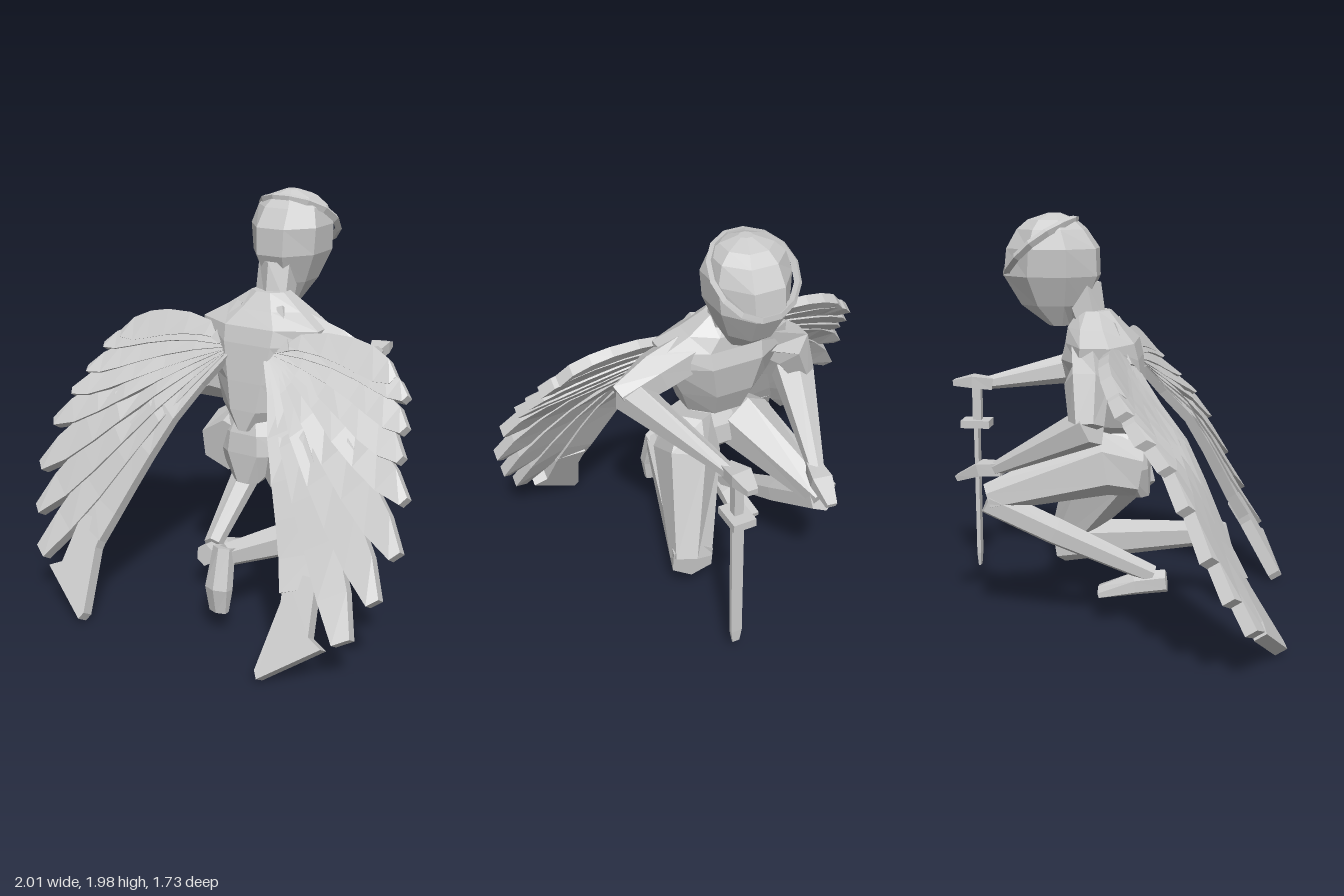
import * as THREE from 'three';

const mat = new THREE.MeshStandardMaterial({ color: 0xcccccc, flatShading: true });
const V = (x, y, z) => new THREE.Vector3(x, y, z);

// Polygon ring whose flat sides touch the half-axes u and v
function ring(c, u, v, n) {
  const k = Math.cos(Math.PI / n), out = [];
  for (let i = 0; i < n; i++) {
    const a = (i + 0.5) / n * Math.PI * 2;
    out.push(c.clone().addScaledVector(u, Math.cos(a) / k).addScaledVector(v, Math.sin(a) / k));
  }
  return out;
}

// Closed solid through a list of rings, faces turned outward by signed volume
function loft(name, rings) {
  const tris = [], n = rings[0].length, last = rings.length - 1;
  for (let r = 0; r < last; r++) for (let i = 0; i < n; i++) {
    const j = (i + 1) % n, a = rings[r], b = rings[r + 1];
    tris.push([a[i], a[j], b[j]], [a[i], b[j], b[i]]);
  }
  for (let i = 1; i < n - 1; i++) {
    tris.push([rings[0][0], rings[0][i + 1], rings[0][i]]);
    tris.push([rings[last][0], rings[last][i], rings[last][i + 1]]);
  }
  let vol = 0;
  for (const [a, b, c] of tris) vol += a.dot(b.clone().cross(c));
  if (vol < 0) tris.forEach(t => t.reverse());
  const geo = new THREE.BufferGeometry().setFromPoints(tris.flat());
  geo.computeVertexNormals();
  return named(name, geo);
}

function named(name, geo) {
  const m = new THREE.Mesh(geo, mat);
  m.name = name;
  return m;
}

// Horizontal sections: [y, centre z, half width, half depth]
const stack = (name, rows, n = 8) =>
  loft(name, rows.map(([y, z, rx, rz]) => ring(V(0, y, z), V(rx, 0, 0), V(0, 0, rz), n)));

// Limb along a path: [x, y, z, half width, half height]
function limb(name, pts, n = 6) {
  const p = pts.map(q => V(q[0], q[1], q[2]));
  return loft(name, pts.map((q, i) => {
    const d = p[Math.min(i + 1, p.length - 1)].clone().sub(p[Math.max(i - 1, 0)]).normalize();
    const ref = Math.abs(d.x) > 0.75 ? V(0, 0, 1) : V(1, 0, 0);
    const u = ref.addScaledVector(d, -ref.dot(d)).normalize();
    const v = d.clone().cross(u);
    return ring(p[i], u.multiplyScalar(q[3]), v.multiplyScalar(q[4]), n);
  }));
}

function box(name, w, h, d, x, y, z) {
  const m = named(name, new THREE.BoxGeometry(w, h, d));
  m.position.set(x, y, z);
  return m;
}

// Depth of the wing's back surface at each height
const sweep = [[-0.1, 0.95], [0.06, 0.86], [0.5, 0.605], [0.83, 0.45], [1, 0.355], [1.13, 0.225], [1.25, 0.14], [1.46, 0.02]];
function wingZ(y) {
  let i = 0;
  while (i < sweep.length - 2 && y > sweep[i + 1][0]) i++;
  const [y0, z0] = sweep[i], [y1, z1] = sweep[i + 1];
  return z0 + (z1 - z0) * (y - y0) / (y1 - y0);
}
// Point at a depth below the wing's back surface, measured square to its slope
const wingPoint = (x, y, depth) => V(x, y - depth * 0.54, wingZ(y) - depth * 0.84);

// Feathers: root, bend, tip (x, y each), half width, tip width factor
const feathers = [
  [0.13, 1.31, 0.45, 1.40, 0.76, 1.25, 0.065, 0.3],
  [0.14, 1.29, 0.55, 1.33, 0.84, 1.19, 0.05, 0.3],
  [0.14, 1.28, 0.55, 1.25, 0.88, 1.08, 0.055, 0.3],
  [0.14, 1.27, 0.52, 1.18, 0.91, 0.98, 0.06, 0.3],
  [0.14, 1.27, 0.50, 1.14, 0.97, 0.83, 0.07, 0.3],
  [0.14, 1.26, 0.48, 1.10, 0.985, 0.62, 0.078, 0.35],
  [0.14, 1.26, 0.45, 1.03, 0.935, 0.43, 0.08, 0.35],
  [0.14, 1.25, 0.42, 0.98, 0.84, 0.26, 0.08, 0.5],
  [0.12, 1.25, 0.38, 0.98, 0.585, 0.40, 0.085, 1],
];

function wing(side) {
  const g = new THREE.Group();
  g.name = side > 0 ? 'leftWing' : 'rightWing';
  feathers.forEach(([rx, ry, bx, by, tx, ty, w, end], k) => {
    const curve = new THREE.QuadraticBezierCurve(
      new THREE.Vector2(rx, ry), new THREE.Vector2(bx, by), new THREE.Vector2(tx, ty));
    const profile = [[0, 0.3], [0.2, 0.55], [0.4, 0.78], [0.6, 0.95], [0.75, 1], [0.89, Math.max(0.85, end)], [1, end]];
    g.add(loft('feather' + (k + 1), profile.map(([t, f]) => {
      const p = curve.getPoint(t), d = curve.getTangent(t), thick = 0.04 + 0.02 * t;
      // the lower edge is lifted so each feather overlaps the next
      const corner = (s, depth) => wingPoint(
        side * (p.x - d.y * w * f * s), p.y + d.x * w * f * s, depth + 0.007 * s);
      return [corner(1, 0), corner(-1, 0), corner(-1, thick), corner(1, thick)];
    })));
  });
  // Hooked trailing tip
  const tail = [[0.5, 0.46], [0.52, 0.34], [0.48, 0.07], [0.5, 0.04], [0.76, 0.215], [0.69, 0.245], [0.655, 0.46]];
  const geo = new THREE.ExtrudeGeometry(
    new THREE.Shape(tail.map(([x, y]) => new THREE.Vector2(side * x, y))), { depth: 0.065, bevelEnabled: false });
  const pos = geo.attributes.position;
  for (let i = 0; i < pos.count; i++) {
    const q = wingPoint(pos.getX(i), pos.getY(i), 0.065 - pos.getZ(i));
    pos.setXYZ(i, q.x, q.y, q.z);
  }
  geo.computeVertexNormals();
  g.add(named('wingTip', geo));
  // Strap joining wing to shoulder
  g.add(limb('wingStrap', [[side * 0.11, 1.47, 0.015, 0.015, 0.015], [side * 0.19, 1.28, 0.11, 0.03, 0.02]], 4));
  return g;
}

export function createModel() {
  const model = new THREE.Group();
  model.name = 'kneelingWingedFigure';

  // Body
  model.add(stack('torso', [[0.88, 0.11, 0.05, 0.08], [0.98, 0.03, 0.17, 0.155], [1.12, -0.01, 0.225, 0.18],
    [1.3, -0.04, 0.31, 0.185], [1.38, -0.04, 0.32, 0.165], [1.45, -0.07, 0.2, 0.13], [1.525, -0.08, 0.09, 0.075]]));
  model.add(stack('pelvis', [[0.61, 0.13, 0.07, 0.06], [0.76, 0.05, 0.2, 0.14], [0.86, 0.05, 0.18, 0.13], [0.95, 0.06, 0.12, 0.09]]));
  model.add(stack('neck', [[1.47, -0.11, 0.085, 0.075], [1.66, -0.165, 0.085, 0.1]], 6));

  // Head
  model.add(stack('head', [[1.45, -0.25, 0.06, 0.05], [1.55, -0.275, 0.115, 0.155], [1.69, -0.285, 0.17, 0.225],
    [1.82, -0.28, 0.18, 0.215], [1.91, -0.285, 0.155, 0.16], [1.955, -0.285, 0.11, 0.11], [1.985, -0.275, 0.03, 0.03]]));
  // Tilted headband, arched over the temples
  const bandGeo = new THREE.TorusGeometry(0.2, 0.017, 4, 14);
  bandGeo.scale(0.98, 1.07, 1.2);
  const pos = bandGeo.attributes.position;
  for (let i = 0; i < pos.count; i++) pos.setZ(i, pos.getZ(i) - 0.7 * pos.getX(i) ** 2);
  const band = named('headband', bandGeo);
  band.position.set(0, 1.825, -0.34);
  band.rotation.x = 0.908;
  model.add(band);

  // Arms
  model.add(limb('leftUpperArm', [[0.18, 1.34, -0.07, 0.1, 0.09], [0.36, 1.28, -0.08, 0.095, 0.09], [0.54, 1.2, -0.1, 0.05, 0.075]]));
  model.add(limb('leftForearm', [[0.49, 1.2, -0.07, 0.075, 0.09], [0.285, 1.1, -0.7, 0.028, 0.028]]));
  model.add(limb('leftHand', [[0.29, 1.1, -0.66, 0.03, 0.03], [0.27, 1.115, -0.76, 0.05, 0.03], [0.27, 1.105, -0.86, 0.025, 0.015]], 4));
  model.add(limb('rightUpperArm', [[-0.2, 1.33, -0.06, 0.1, 0.09], [-0.36, 1.22, -0.07, 0.1, 0.09], [-0.44, 1.04, -0.06, 0.06, 0.07]]));
  model.add(limb('rightForearm', [[-0.41, 1.04, -0.04, 0.095, 0.085], [-0.27, 0.79, -0.52, 0.035, 0.03]]));
  model.add(limb('rightHand', [[-0.27, 0.79, -0.49, 0.035, 0.03], [-0.25, 0.785, -0.6, 0.05, 0.03], [-0.235, 0.73, -0.72, 0.025, 0.014]], 4));

  // Kneeling left leg
  model.add(limb('leftThigh', [[0.13, 0.93, 0.02, 0.08, 0.11], [0.17, 0.73, -0.01, 0.13, 0.205], [0.285, 0.27, -0.28, 0.095, 0.075]]));
  model.add(limb('leftShin', [[0.285, 0.265, -0.3, 0.1, 0.105], [0.11, 0.39, 0.53, 0.045, 0.05]]));
  model.add(limb('leftFoot', [[0.11, 0.43, 0.52, 0.045, 0.045], [0.11, 0.24, 0.57, 0.06, 0.045], [0.11, 0.12, 0.57, 0.045, 0.025]]));

  // Raised right leg
  model.add(limb('rightThigh', [[-0.12, 0.77, 0.15, 0.12, 0.12], [-0.15, 0.8, -0.03, 0.125, 0.14], [-0.3, 0.65, -0.56, 0.07, 0.06]]));
  model.add(limb('rightShin', [[-0.295, 0.64, -0.56, 0.075, 0.06], [-0.24, 0.48, -0.25, 0.07, 0.06], [-0.16, 0.25, 0.22, 0.04, 0.04]]));
  model.add(limb('rightFoot', [[-0.16, 0.22, 0.29, 0.045, 0.05], [-0.16, 0.2, 0.14, 0.055, 0.05], [-0.17, 0.155, -0.04, 0.07, 0.02]]));

  // Sword held point down
  const sword = new THREE.Group();
  sword.name = 'sword';
  sword.add(box('grip', 0.045, 0.2, 0.045, 0.28, 1.0, -0.74));
  sword.add(box('guard', 0.11, 0.04, 0.15, 0.28, 0.89, -0.745));
  sword.add(limb('blade', [[0.28, 0.9, -0.745, 0.03, 0.011], [0.28, 0.18, -0.745, 0.028, 0.01], [0.28, 0.11, -0.745, 0.018, 0.006]], 4));
  model.add(sword);

  for (const side of [1, -1]) model.add(wing(side));
  return model;
}
